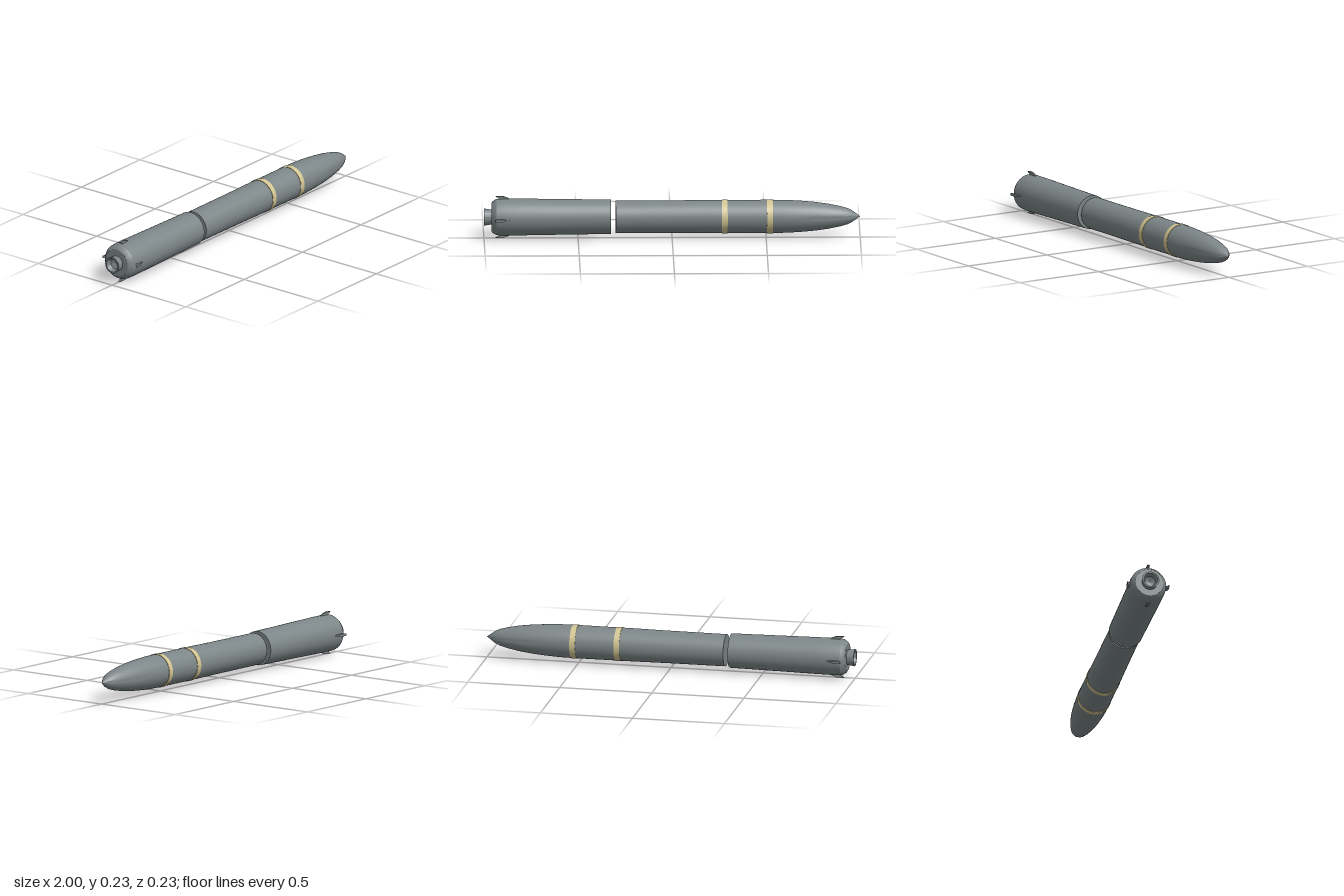
import * as THREE from 'three';
import { toCreasedNormals } from 'three/addons/utils/BufferGeometryUtils.js';

const AXIS_Y = 0.1135;

export function createModel() {
  const model = new THREE.Group();
  model.name = 'missile';
  const grey = new THREE.MeshStandardMaterial({ color: 0x7c8587 });
  grey.name = 'body grey';
  const yellow = new THREE.MeshStandardMaterial({ color: 0xd2c491 });
  yellow.name = 'band yellow';

  // Everything is built round the long axis, then lifted
  const add = (name, geometry, material) => {
    const mesh = new THREE.Mesh(geometry, material);
    mesh.name = name;
    mesh.position.y = AXIS_Y;
    model.add(mesh);
    return mesh;
  };

  // Turned part from [x, radius] pairs running from tail to nose
  const turned = (name, profile, material) => {
    const points = profile.map(([x, r]) => new THREE.Vector2(r, x));
    const geometry = new THREE.LatheGeometry(points, 48).rotateZ(-Math.PI / 2);
    return add(name, toCreasedNormals(geometry, 0.5), material);
  };

  // Booster section, with a chamfered tail and a flat front
  turned('booster', [
    [-0.96, 0], [-0.96, 0.075], [-0.955, 0.083], [-0.935, 0.096], [-0.9, 0.0985],
    [-0.8, 0.098], [-0.6, 0.095], [-0.325, 0.0915], [-0.325, 0],
  ], grey);

  // Hollow nozzle
  turned('nozzle', [
    [-0.962, 0], [-0.975, 0.028], [-1, 0.038], [-1, 0.046], [-0.97, 0.041], [-0.955, 0.041],
  ], grey);

  // Main body and ogive nose, set off from the booster by a narrow gap
  turned('forwardBody', [
    [-0.3, 0], [-0.3, 0.0855], [0.04, 0.0865], [0.2, 0.088], [0.52, 0.0885],
    [0.6, 0.0875], [0.68, 0.0835], [0.76, 0.0765], [0.83, 0.067], [0.89, 0.055],
    [0.93, 0.044], [0.957, 0.031], [1, 0],
  ], grey);

  // Marking bands
  for (const x of [0.28, 0.52]) {
    turned('band', [
      [x - 0.015, 0.087], [x - 0.015, 0.0905], [x + 0.015, 0.0905], [x + 0.015, 0.087],
    ], yellow);
  }

  // Four swept tail fins
  const outline = new THREE.Shape([
    [-0.91, 0.09], [-0.86, 0.09], [-0.868, 0.102], [-0.9, 0.1135], [-0.94, 0.1135], [-0.92, 0.1],
  ].map(([x, y]) => new THREE.Vector2(x, y)));
  for (let i = 0; i < 4; i++) {
    const geometry = new THREE.ExtrudeGeometry(outline, { depth: 0.013, bevelEnabled: false });
    geometry.translate(0, 0, -0.0065);
    // Draw the leading edge in to a wedge
    const p = geometry.attributes.position;
    for (let v = 0; v < p.count; v++) {
      if (p.getX(v) > -0.88) p.setZ(v, p.getZ(v) * 0.35);
    }
    geometry.computeVertexNormals();
    add('tailFin', geometry, grey).rotation.x = i * Math.PI / 2;
  }

  return model;
}
